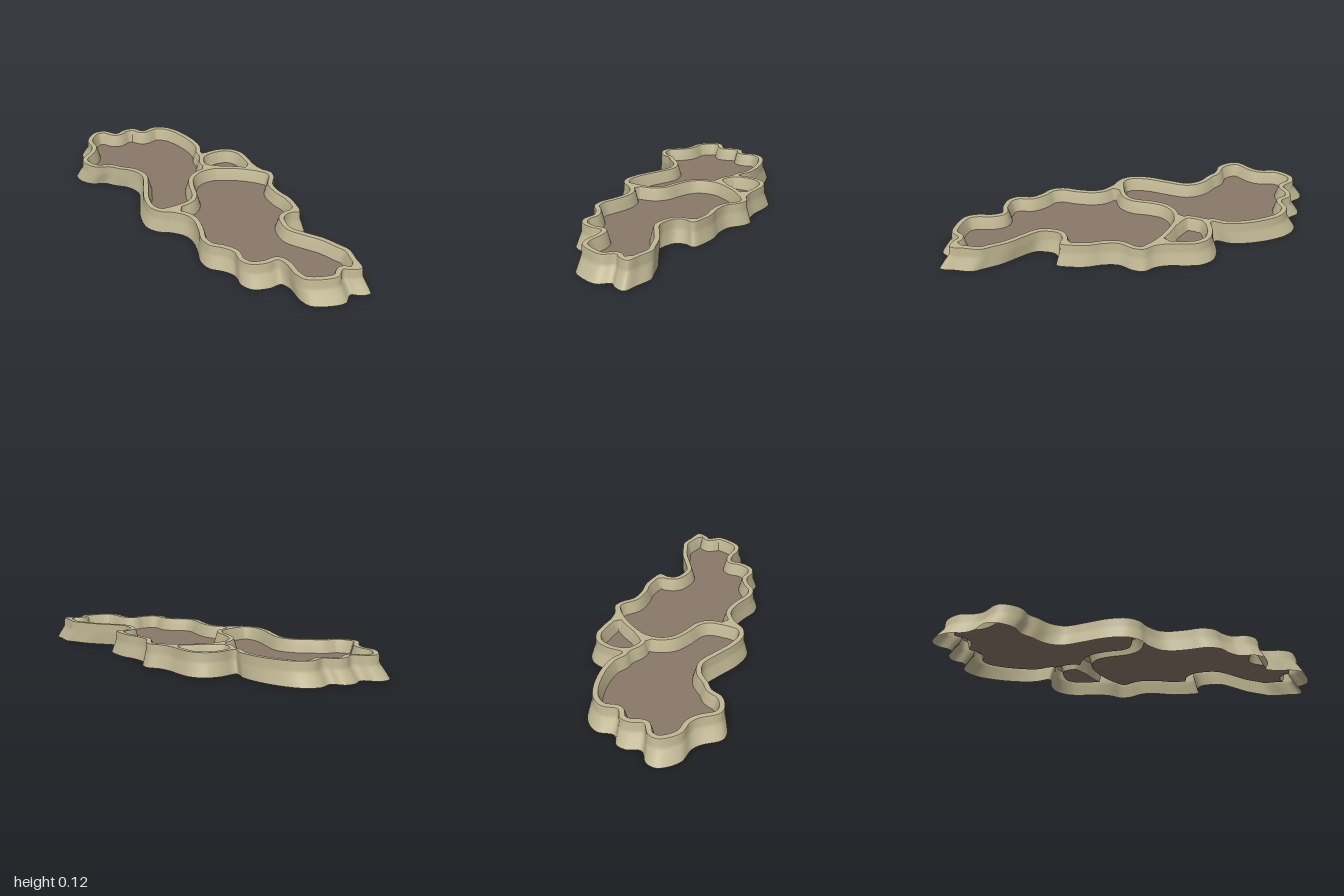
import * as THREE from 'three';

const STEPS = 5; // samples per control point

// Footprint on the ground, in hundredths (x, z)
const FOOT = [
  -15, -100, -10, -98, -6, -91, 1, -92, 6, -90, 9, -84, 17, -84, 23, -79, 26, -71, 27, -57,
  25, -46, 21, -39, 30, -37, 37, -33, 40, -26, 39, -18, 37, -10, 37, -3, 39, 3, 37, 8,
  31, 14, 29, 22, 29, 30, 27, 38, 24, 44, 19, 42, 14, 43, 11, 48, 10, 53, 13, 61,
  17, 70, 19, 79, 20, 85, 17, 93, 14, 100, 9, 98, 6, 95, 0, 98, -8, 95, -14, 90,
  -15, 84, -13, 75, -14, 70, -20, 69, -27, 65, -29, 59, -27, 52, -29, 46, -33, 40, -33, 33,
  -29, 25, -26, 17, -26, 11, -30, 4, -35, -1, -37, -8, -34, -18, -27, -29, -22, -38, -23, -46,
  -28, -53, -31, -58, -37, -62, -40, -69, -39, -75, -30, -81, -27, -85, -25, -93, -20, -98,
];
// Control points where the dividing walls meet the outer wall
const NOTCH = 11, RIGHT = 18, LEFT = 54;

const TOP = 0.115, FLOOR = 0.05;

const pairs = (a) => Array.from({ length: a.length / 2 },
  (_, i) => new THREE.Vector2(a[2 * i] / 100, a[2 * i + 1] / 100));

// Smooth curve through points, STEPS samples per span
function smooth(points, closed) {
  const curve = new THREE.CatmullRomCurve3(points.map((p) => new THREE.Vector3(p.x, 0, p.y)), closed);
  const spans = closed ? points.length : points.length - 1;
  const out = curve.getPoints(spans * STEPS).map((p) => new THREE.Vector2(p.x, p.z));
  if (closed) out.pop();
  return out;
}

// Inward normals of a loop that runs clockwise seen from above
function normals(loop) {
  const n = loop.length;
  return loop.map((_, i) => {
    const d = loop[(i + 1) % n].clone().sub(loop[(i + n - 1) % n]).normalize();
    return new THREE.Vector2(-d.y, d.x);
  });
}

const inset = (loop, norm, d) => loop.map((p, i) => p.clone().addScaledVector(norm[i], d));

// Skin through stacked loops of equal length
function skin(levels) {
  const n = levels[0].loop.length, pos = [], index = [];
  levels.forEach(({ loop, y }) => loop.forEach((p) => pos.push(p.x, y, p.y)));
  for (let j = 0; j < levels.length - 1; j++) {
    for (let i = 0; i < n; i++) {
      const k = (i + 1) % n, a = j * n + i, b = j * n + k;
      index.push(a, a + n, b, b, a + n, b + n);
    }
  }
  const g = new THREE.BufferGeometry();
  g.setAttribute('position', new THREE.Float32BufferAttribute(pos, 3));
  g.setIndex(index);
  g.computeVertexNormals();
  return g;
}

// Flat horizontal sheet with optional holes
function sheet(loop, y, holes = []) {
  const flip = (l) => l.map((p) => new THREE.Vector2(p.x, -p.y));
  const shape = new THREE.Shape(flip(loop));
  shape.holes = holes.map((h) => new THREE.Path(flip(h)));
  return new THREE.ShapeGeometry(shape).rotateX(-Math.PI / 2).translate(0, y, 0);
}

export function createModel() {
  const model = new THREE.Group();
  model.name = 'dividedPool';
  const stone = new THREE.MeshStandardMaterial({ color: 0xc0b793, side: THREE.DoubleSide });
  stone.name = 'paleStone';
  const earth = new THREE.MeshStandardMaterial({ color: 0x8a7868, side: THREE.DoubleSide });
  earth.name = 'brownFloor';
  const add = (name, geometry, material) => {
    const mesh = new THREE.Mesh(geometry, material);
    mesh.name = name;
    model.add(mesh);
  };

  // Outer wall: the footprint shrinks towards the rim
  const foot = smooth(pairs(FOOT), true);
  const scaled = (s) => foot.map((p) => p.clone().multiplyScalar(s));
  const profile = [[0, 1], [0.035, 0.974], [0.06, 0.954], [0.075, 0.947], [0.108, 0.945], [TOP, 0.941]];
  add('outerWall', skin(profile.map(([y, s]) => ({ loop: scaled(s), y }))), stone);

  // Centre lines of the outer rim and of the two dividing walls
  const rim = scaled(0.941);
  const mid = inset(rim, normals(rim), 0.013);
  const at = (i) => mid[i * STEPS];
  const main = smooth([at(LEFT), ...pairs([-26, 0, -15, 0.5, -10, -3, -6, -11, -1, -18, 6, -21,
    14, -20, 19, -17, 27, -10, 33, -2]), at(RIGHT)], false);
  const join = 7 * STEPS + STEPS;
  const side = smooth([at(NOTCH), ...pairs([17, -33, 14, -29, 13, -25]), main[join]], false);

  const run = (a, b) => mid.slice(a * STEPS, b * STEPS + 1);
  const back = (l) => l.slice().reverse();
  const basins = {
    upperBasin: [...mid.slice(LEFT * STEPS), ...run(0, NOTCH), ...side, ...back(main.slice(0, join + 1))],
    smallBasin: [...run(NOTCH, RIGHT), ...back(main.slice(join)), ...back(side)],
    lowerBasin: [...run(RIGHT, LEFT), ...main],
  };

  // Basins: sloping inner wall and floor
  const holes = [];
  for (const [name, raw] of Object.entries(basins)) {
    const line = raw.filter((p, i) => p.distanceTo(raw[(i + 1) % raw.length]) > 1e-4);
    const norm = normals(line);
    const deep = 0.03;
    // drop samples whose inset would cross another stretch of wall
    const keep = inset(line, norm, deep).map((q) => line.every((p) => p.distanceTo(q) > deep * 0.96));
    const level = (d, y) => ({ loop: inset(line, norm, d).filter((_, i) => keep[i]), y });
    const levels = [level(0.012, TOP), level(0.016, 0.105), level(0.024, 0.075), level(deep, FLOOR)];
    holes.push(levels[0].loop);
    add(name + 'Wall', skin(levels), stone);
    add(name + 'Floor', sheet(levels[3].loop, FLOOR), earth);
  }

  // Flat top of all the walls
  add('rimTop', sheet(rim, TOP, holes), stone);
  return model;
}
